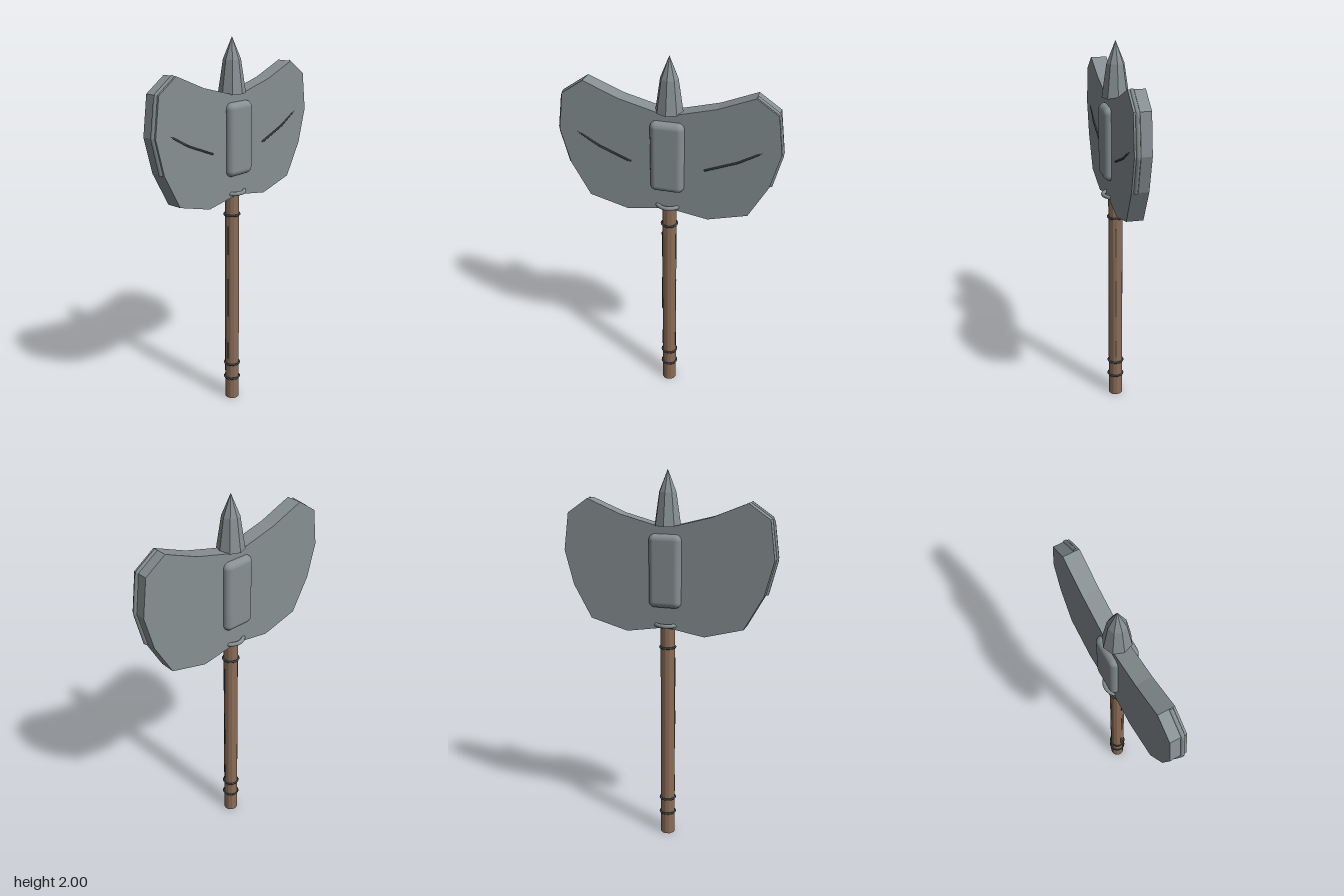
import * as THREE from 'three';
import { RoundedBoxGeometry } from 'three/addons/geometries/RoundedBoxGeometry.js';

const steel = new THREE.MeshStandardMaterial({ color: 0x868f92 });
steel.name = 'steel';
const wood = new THREE.MeshStandardMaterial({ color: 0x8b6c58 });
wood.name = 'wood';
const darkIron = new THREE.MeshStandardMaterial({ color: 0x3e4446 });
darkIron.name = 'dark iron';

// Split the faces so each keeps its own flat normal
function faceted(geometry) {
  const flat = geometry.index ? geometry.toNonIndexed() : geometry;
  flat.computeVertexNormals();
  return flat;
}

// Straight-segment rod through a few points
function rod(points, radius) {
  const path = new THREE.CurvePath();
  const v = points.map((p) => new THREE.Vector3(...p));
  for (let i = 1; i < v.length; i++) path.add(new THREE.LineCurve3(v[i - 1], v[i]));
  return new THREE.TubeGeometry(path, 24, radius, 6, false);
}

export function createModel() {
  const model = new THREE.Group();
  model.name = 'doubleAxe';
  const add = (name, geometry, material, x = 0, y = 0, z = 0) => {
    const mesh = new THREE.Mesh(geometry, material);
    mesh.name = name;
    mesh.position.set(x, y, z);
    model.add(mesh);
    return mesh;
  };

  // Wooden shaft
  add('shaft', faceted(new THREE.CylinderGeometry(0.038, 0.039, 1.74, 12)), wood, 0, 0.87);

  // Double blade: one half outline, mirrored
  const half = [[0, 1.725], [0.06, 1.73], [0.24, 1.777], [0.42, 1.85], [0.53, 1.775],
    [0.557, 1.58], [0.51, 1.4], [0.413, 1.225], [0.21, 1.17], [0.04, 1.198], [0, 1.2]];
  const outline = [...half, ...half.slice(1, -1).reverse().map(([x, y]) => [-x, y])];
  const shape = new THREE.Shape(outline.map(([x, y]) => new THREE.Vector2(x, y)));
  add('blade', new THREE.ExtrudeGeometry(shape, { depth: 0.083, bevelEnabled: false }),
    steel, 0, 0, -0.043);

  for (const [side, s] of [['left', 1], ['right', -1]]) {
    // Cutting edge rim
    const rim = [[0.42, 1.847], [0.53, 1.772], [0.557, 1.58], [0.512, 1.4]];
    add(side + 'EdgeRim', rod(rim.map(([x, y]) => [s * x, y, 0.02]), 0.011), steel);

    // Engraved line on the front face
    const line = [[0.187, 1.45, 0.043], [0.35, 1.515, 0.043], [0.466, 1.58, 0.036]];
    add(side + 'BladeLine', rod(line.map(([x, y, z]) => [s * x, y, z]), 0.005), darkIron);

    // Thin grain strips along the shaft
    for (const [y, length] of [[0.3, 0.1], [0.62, 0.22], [0.95, 0.16]]) {
      add(side + 'GrainStrip', new THREE.BoxGeometry(0.004, length, 0.004), darkIron,
        s * 0.038, y, 0.006);
    }
  }

  // Rounded socket that clamps the blade
  add('socket', new RoundedBoxGeometry(0.172, 0.376, 0.15, 4, 0.032), steel, 0, 1.498);

  // Octagonal spike
  const profile = [[0, 1.725], [0.07, 1.725], [0.045, 1.89], [0, 2]]
    .map(([x, y]) => new THREE.Vector2(x, y));
  add('spike', faceted(new THREE.LatheGeometry(profile, 8)), steel);

  // Collar beneath the blade
  add('collar', new THREE.TorusGeometry(0.064, 0.011, 8, 24), steel, 0, 1.216)
    .rotation.x = Math.PI / 2;

  // Dark bands around the shaft
  for (const y of [0.125, 0.213, 1.09]) {
    add('shaftBand', new THREE.TorusGeometry(0.04, 0.006, 6, 20), darkIron, 0, y)
      .rotation.x = Math.PI / 2;
  }
  return model;
}
